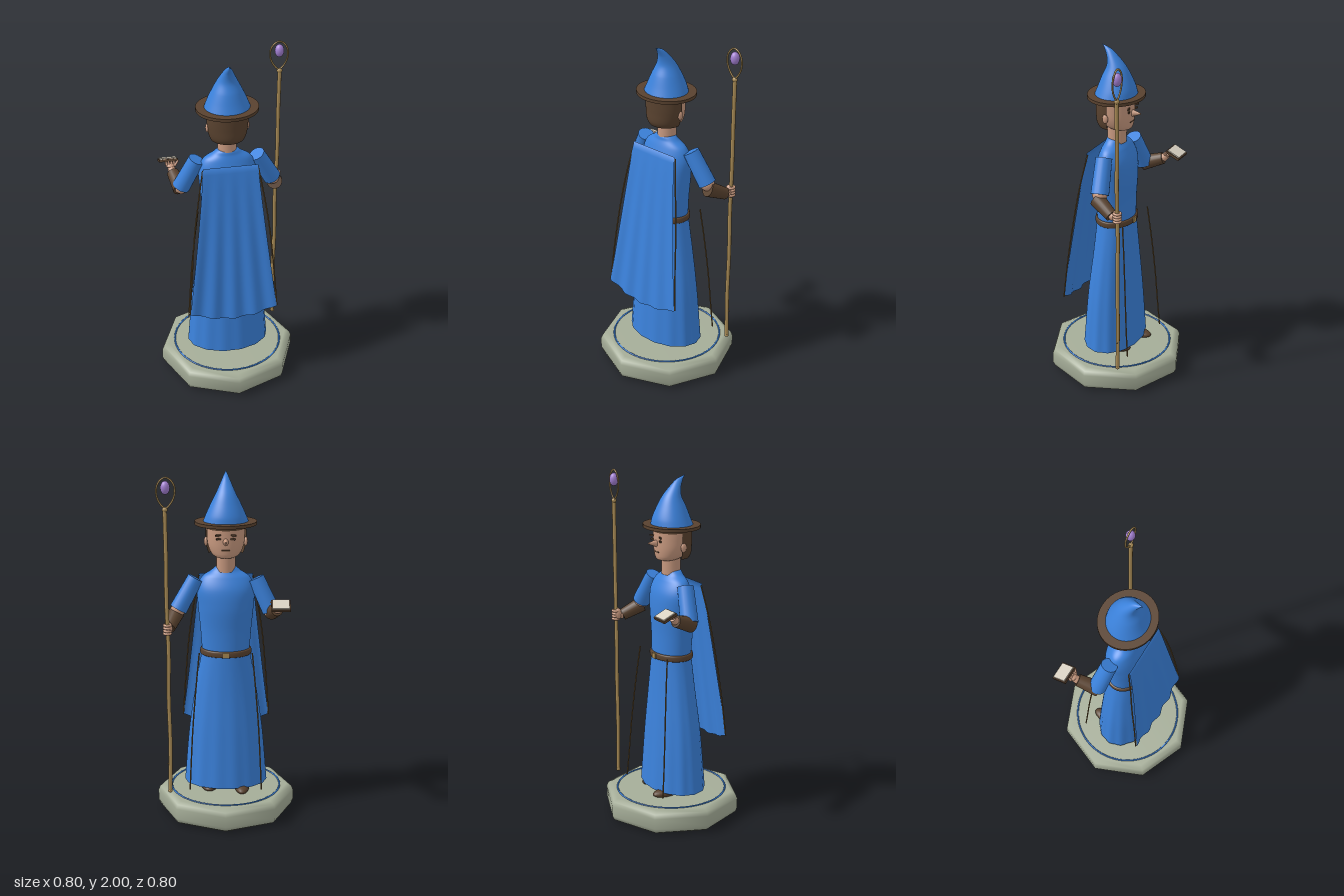
import * as THREE from 'three';
import { ParametricGeometry } from 'three/addons/geometries/ParametricGeometry.js';

const mat = (name, color, side = THREE.FrontSide) => {
  const m = new THREE.MeshStandardMaterial({ color, side });
  m.name = name;
  return m;
};
const V = (x, y, z) => new THREE.Vector3(x, y, z);

export function createModel() {
  const model = new THREE.Group();
  model.name = 'wizardFigure';
  const blue = mat('robeBlue', 0x3b82dc, THREE.DoubleSide);
  const brown = mat('leatherBrown', 0x59422f, THREE.DoubleSide);
  const skin = mat('skin', 0xc99a80);
  const stone = mat('stone', 0xa5ad98);
  const wood = mat('staffWood', 0xa98b55);
  const trimGold = mat('trim', 0x7d6036);
  const gem = mat('gemPurple', 0xa27fd2);
  const paper = mat('paper', 0xd9d1c2);

  const add = (name, geo, material, parent = model) => {
    const mesh = new THREE.Mesh(geo, material);
    mesh.name = name;
    parent.add(mesh);
    return mesh;
  };
  // Tapered limb between two points
  const limb = (name, a, b, ra, rb, material, sides = 20) => {
    const d = b.clone().sub(a);
    const m = add(name, new THREE.CylinderGeometry(rb, ra, d.length(), sides), material);
    m.position.copy(a).addScaledVector(d, 0.5);
    m.quaternion.setFromUnitVectors(V(0, 1, 0), d.normalize());
    return m;
  };
  const ball = (name, p, s, material) => {
    const m = add(name, new THREE.SphereGeometry(1, 24, 16), material);
    m.position.copy(p);
    m.scale.copy(s);
    return m;
  };
  const box = (name, p, s, material, parent) => {
    const m = add(name, new THREE.BoxGeometry(...s), material, parent);
    m.position.set(...p);
    return m;
  };
  const tube = (name, pts, r, material, closed = false, n = 48) =>
    add(name, new THREE.TubeGeometry(
      new THREE.CatmullRomCurve3(pts.map((p) => V(...p)), closed), n, r, 8, closed), material);
  // Smooth skin over elliptical rings [y, rx, rz, cz], bottom to top
  const loft = (name, rings, material, { from = 0, to = Math.PI * 2, folds = 0, stacks = 28 } = {}) => {
    const size = new THREE.CatmullRomCurve3(rings.map(([y, rx, rz]) => V(rx, y, rz)));
    const mid = new THREE.CatmullRomCurve3(rings.map(([y, , , cz]) => V(0, y, cz)));
    const p = V(0, 0, 0), c = V(0, 0, 0);
    return add(name, new ParametricGeometry((u, v, out) => {
      const a = from + (to - from) * u;
      size.getPoint(v, p);
      mid.getPoint(v, c);
      const k = 1 + folds * (1 - v) * Math.cos(a * 14);
      out.set(p.x * k * Math.cos(a), p.y, c.z - p.z * k * Math.sin(a));
    }, 84, stacks), material);
  };

  // Octagonal stone base with an inlaid ring
  const basePts = [[0, 0], [0.365, 0], [0.39, 0.015], [0.4, 0.04], [0.4, 0.1], [0.39, 0.125], [0.36, 0.14], [0, 0.14]];
  add('base', new THREE.LatheGeometry(basePts.map((p) => new THREE.Vector2(...p)), 8), stone);
  const ring = add('baseRing', new THREE.TorusGeometry(0.318, 0.005, 8, 72), blue);
  ring.rotation.x = Math.PI / 2;
  ring.position.y = 0.141;

  // Shoes
  ball('leftShoe', V(0.095, 0.157, -0.04), V(0.052, 0.027, 0.1), brown);
  ball('rightShoe', V(-0.095, 0.157, -0.085), V(0.042, 0.027, 0.095), brown);

  // Robe: skirt, hem cover, torso
  loft('skirt', [[0.17, 0.238, 0.163, 0.01], [0.5, 0.21, 0.14, 0.008], [0.75, 0.175, 0.118, 0.003],
    [0.98, 0.135, 0.103, 0]], blue, { folds: 0.012 });
  const hem = add('skirtUnderside', new THREE.CircleGeometry(1, 48), blue);
  hem.rotation.x = Math.PI / 2;
  hem.scale.set(0.234, 0.16, 1);
  hem.position.set(0, 0.173, 0.01);
  loft('torso', [[0.96, 0.135, 0.102, 0], [1.1, 0.145, 0.107, 0.004], [1.24, 0.158, 0.11, 0.002],
    [1.34, 0.162, 0.095, -0.002], [1.405, 0.135, 0.07, 0.002], [1.44, 0.085, 0.052, 0.006],
    [1.465, 0.052, 0.042, 0.006], [1.466, 0.01, 0.01, 0.004]], blue, { stacks: 40 });

  // Belt and buckle
  loft('belt', [[0.953, 0.138, 0.105, 0], [0.957, 0.146, 0.113, 0], [0.985, 0.145, 0.112, 0],
    [0.99, 0.136, 0.104, 0]], brown);
  box('buckle', [0, 0.971, -0.114], [0.034, 0.03, 0.009], wood);

  // Cape hanging behind, with scalloped lower edge
  add('cape', new ParametricGeometry((u, v, out) => {
    const s = u * 2 - 1, t = 1 - v;
    const half = 0.155 + 0.1 * Math.pow(t, 1.15);
    const bottom = 0.45 + 0.05 * s * s;
    const z = 0.105 + 0.118 * Math.pow(t, 0.85) - 0.012 * s * s * t + 0.007 * t * Math.cos(s * 13);
    out.set(s * half, 1.4 + (bottom - 1.4) * t, z);
  }, 64, 24), blue);

  for (const s of [-1, 1]) {
    // Edge cords of cape and open robe
    tube('capeTrim', [[s * 0.155, 1.39, 0.1], [s * 0.188, 1.2, 0.134], [s * 0.216, 1, 0.16],
      [s * 0.238, 0.75, 0.19], [s * 0.256, 0.5, 0.212]], 0.004, trimGold);
    tube('robeTrim', [[s * 0.15, 0.99, -0.118], [s * 0.168, 0.8, -0.137], [s * 0.188, 0.55, -0.157],
      [s * 0.2, 0.32, -0.172], [s * 0.206, 0.18, -0.183]], 0.004, trimGold);

    // Sleeves, elbows, bracers
    const shoulder = V(s * 0.17, 1.4, -0.012);
    const elbow = s < 0 ? V(-0.256, 1.217, -0.04) : V(0.268, 1.225, -0.04);
    const cuff = s < 0 ? V(-0.26, 1.207, -0.03) : V(0.28, 1.2, -0.03);
    const wrist = s < 0 ? V(-0.287, 1.25, -0.147) : V(0.317, 1.142, -0.14);
    limb('sleeve', shoulder, elbow, 0.046, 0.051, blue);
    ball('elbow', elbow, V(0.042, 0.042, 0.042), skin);
    limb('bracer', cuff, wrist, 0.045, 0.034, brown);
    limb('wrist', wrist, s < 0 ? V(-0.293, 1.272, -0.17) : V(0.322, 1.145, -0.165), 0.024, 0.02, skin);

    // Ears and eyes
    ball('ear', V(s * 0.112, 1.605, 0.012), V(0.011, 0.026, 0.017), skin);
    const brow = box('brow', [s * 0.04, 1.661, -0.096], [0.04, 0.008, 0.009], brown);
    const eye = box('eye', [s * 0.04, 1.64, -0.096], [0.026, 0.009, 0.009], brown);
    brow.rotation.y = eye.rotation.y = s * 0.4;
  }

  // Hand carrying the open book
  ball('rightPalm', V(-0.295, 1.282, -0.18), V(0.028, 0.013, 0.028), skin);
  for (let i = 0; i < 4; i++) {
    const x = -0.318 + i * 0.015;
    limb('finger', V(x, 1.285, -0.17), V(x - 0.002, 1.318, -0.196), 0.007, 0.005, skin, 8);
  }
  limb('thumb', V(-0.275, 1.28, -0.165), V(-0.25, 1.305, -0.185), 0.008, 0.006, skin, 8);
  const book = new THREE.Group();
  book.name = 'book';
  book.position.set(-0.304, 1.293, -0.222);
  book.rotation.x = -0.42;
  model.add(book);
  box('bookCover', [0, 0, 0], [0.107, 0.014, 0.09], brown, book);
  box('bookPages', [0, 0.009, 0], [0.094, 0.009, 0.077], paper, book);

  // Hand gripping the staff
  ball('leftPalm', V(0.318, 1.15, -0.172), V(0.022, 0.036, 0.024), skin);
  for (let i = 0; i < 4; i++) {
    const f = add('gripFinger', new THREE.TorusGeometry(0.018, 0.0075, 8, 16), skin);
    f.rotation.x = Math.PI / 2;
    f.position.set(0.325, 1.122 + i * 0.016, -0.18);
  }

  // Staff with loop and gem
  tube('staff', [[0.321, 0.17, -0.18], [0.317, 0.45, -0.18], [0.323, 0.75, -0.18], [0.32, 1, -0.181],
    [0.328, 1.3, -0.179], [0.328, 1.55, -0.18], [0.331, 1.82, -0.18]], 0.0115, wood, false, 64);
  ball('staffFoot', V(0.321, 0.172, -0.18), V(0.013, 0.012, 0.013), wood);
  ball('staffCollar', V(0.33, 1.82, -0.18), V(0.016, 0.014, 0.014), wood);
  limb('staffTwig', V(0.318, 0.335, -0.18), V(0.334, 0.345, -0.187), 0.005, 0.003, wood, 8);
  tube('staffLoop', [[0.327, 1.828, -0.18], [0.349, 1.845, -0.18], [0.372, 1.89, -0.18], [0.373, 1.945, -0.18],
    [0.352, 1.982, -0.18], [0.325, 1.995, -0.18], [0.298, 1.982, -0.18], [0.277, 1.945, -0.18],
    [0.28, 1.89, -0.18], [0.305, 1.845, -0.18]], 0.005, wood, true, 64);
  ball('gem', V(0.327, 1.94, -0.18), V(0.026, 0.037, 0.026), gem);

  // Head: neck, face, nose, mouth
  limb('neck', V(0, 1.44, 0), V(0, 1.56, -0.003), 0.054, 0.054, skin);
  loft('face', [[1.524, 0.01, 0.01, -0.03], [1.526, 0.05, 0.05, -0.03], [1.545, 0.08, 0.078, -0.015],
    [1.59, 0.1, 0.094, -0.004], [1.65, 0.106, 0.099, 0], [1.72, 0.106, 0.099, 0]], skin);
  limb('nose', V(0, 1.622, -0.08), V(0, 1.628, -0.147), 0.026, 0.005, skin, 12).scale.x = 0.75;
  box('mouth', [0, 1.575, -0.094], [0.045, 0.006, 0.009], brown);

  // Hair: back shell and a band under the hat
  loft('hair', [[1.535, 0.094, 0.09, 0.01], [1.56, 0.104, 0.1, 0.012], [1.62, 0.114, 0.104, 0.01],
    [1.715, 0.113, 0.104, 0.01]], brown, { from: Math.PI * 0.98, to: Math.PI * 2.02 });
  loft('hairBand', [[1.685, 0.109, 0.102, 0.001], [1.715, 0.112, 0.104, 0.001]], brown, { stacks: 2 });

  // Hat: brim and bent crown
  const brim = add('hatBrim', new THREE.CylinderGeometry(1, 1, 0.018, 64), brown);
  brim.scale.set(0.174, 1, 0.157);
  brim.position.set(0, 1.715, 0.003);
  loft('hatCrown', [[1.722, 0.127, 0.116, 0.004], [1.76, 0.112, 0.105, 0], [1.82, 0.085, 0.082, 0.001],
    [1.88, 0.055, 0.053, 0.004], [1.93, 0.032, 0.033, 0.026], [1.97, 0.013, 0.02, 0.056],
    [1.99, 0.001, 0.002, 0.088]], blue, { stacks: 36 });

  return model;
}
